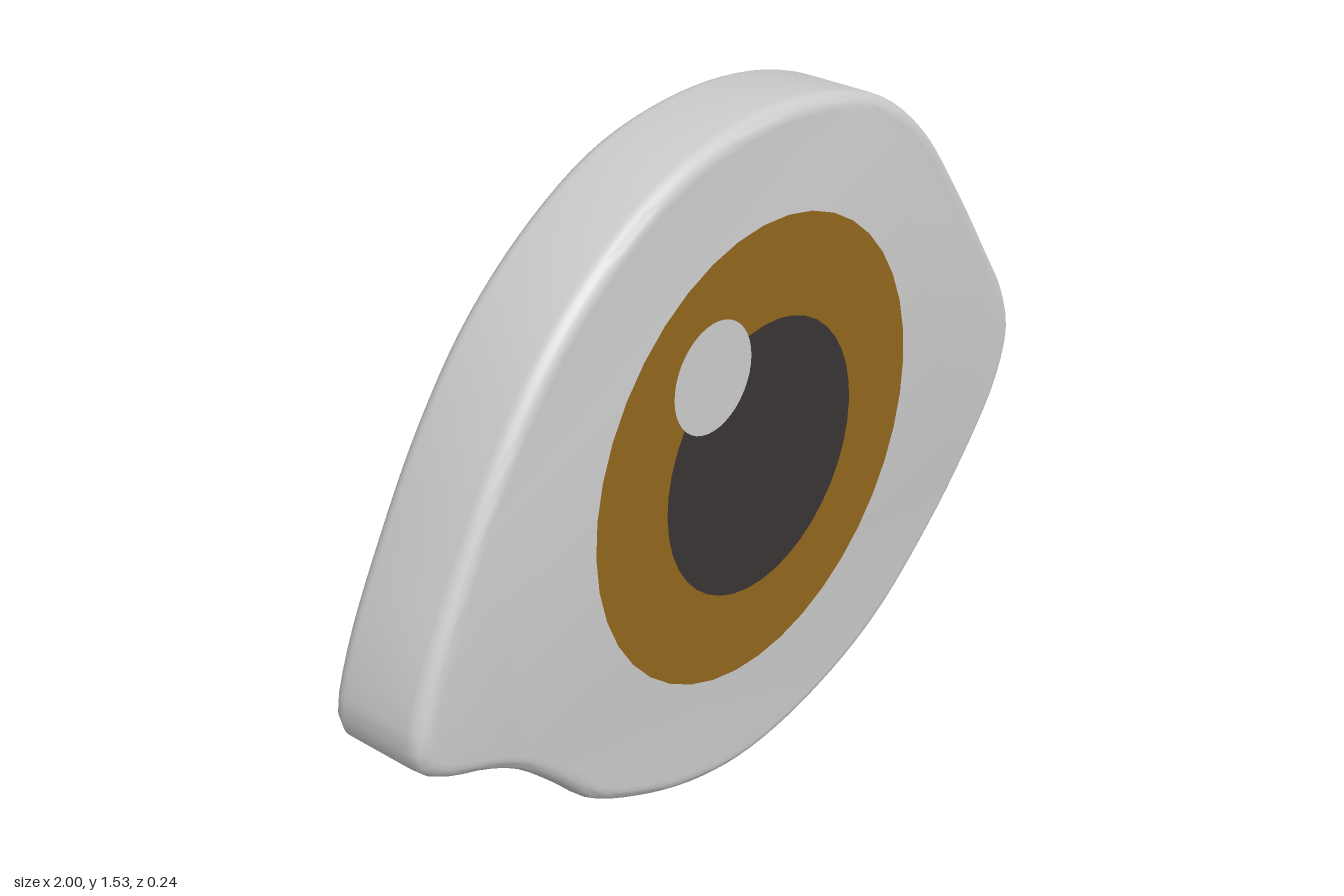
import * as THREE from 'three';
import { toCreasedNormals } from 'three/addons/utils/BufferGeometryUtils.js';

// Eye outline, counter-clockwise from the left corner
const OUTLINE = [
  [-1.0, 0.6], [-0.985, 0.55], [-0.92, 0.5], [-0.82, 0.455], [-0.73, 0.4], [-0.62, 0.295],
  [-0.53, 0.2], [-0.4, 0.12], [-0.21, 0.04], [0, 0.003], [0.25, 0.03], [0.48, 0.11],
  [0.7, 0.265], [0.87, 0.43], [0.965, 0.56], [0.997, 0.68], [0.965, 0.79], [0.87, 0.94],
  [0.74, 1.13], [0.6, 1.31], [0.45, 1.43], [0.25, 1.505], [0.02, 1.53], [-0.22, 1.5],
  [-0.42, 1.41], [-0.6, 1.275], [-0.74, 1.11], [-0.86, 0.92], [-0.96, 0.73],
];

const BACK = -0.122, FRONT = 0.113, BEVEL = 0.035;

function mesh(name, geometry, color) {
  const m = new THREE.Mesh(geometry, new THREE.MeshStandardMaterial({ color }));
  m.name = name;
  return m;
}

// Flat disc facing the front
function disc(name, x, y, z, radius, sides, color) {
  const m = mesh(name, new THREE.CircleGeometry(radius, sides), color);
  m.position.set(x, y, z);
  return m;
}

export function createModel() {
  const eye = new THREE.Group();
  eye.name = 'eye';

  // Thick eye-shaped slab with rounded rims
  const curve = new THREE.CatmullRomCurve3(
    OUTLINE.map(([x, y]) => new THREE.Vector3(x, y, 0)), true, 'centripetal');
  const points = curve.getSpacedPoints(120).slice(0, -1).map((p) => new THREE.Vector2(p.x, p.y));
  const slab = new THREE.ExtrudeGeometry(new THREE.Shape(points), {
    depth: FRONT - BACK - 2 * BEVEL,
    bevelThickness: BEVEL,
    bevelSize: BEVEL,
    bevelOffset: -BEVEL,
    bevelSegments: 6,
  });
  slab.translate(0, 0, BACK + BEVEL);
  eye.add(mesh('eyeball', toCreasedNormals(slab, 0.7), 0xcccccc));

  // Stacked discs on the front face
  eye.add(disc('iris', 0.01, 0.787, FRONT + 0.003, 0.518, 40, 0x93661e));
  eye.add(disc('pupil', 0.01, 0.777, FRONT + 0.006, 0.308, 40, 0x3b3535));
  eye.add(disc('highlight', -0.155, 1.036, FRONT + 0.009, 0.121, 40, 0xcccccc));

  return eye;
}
